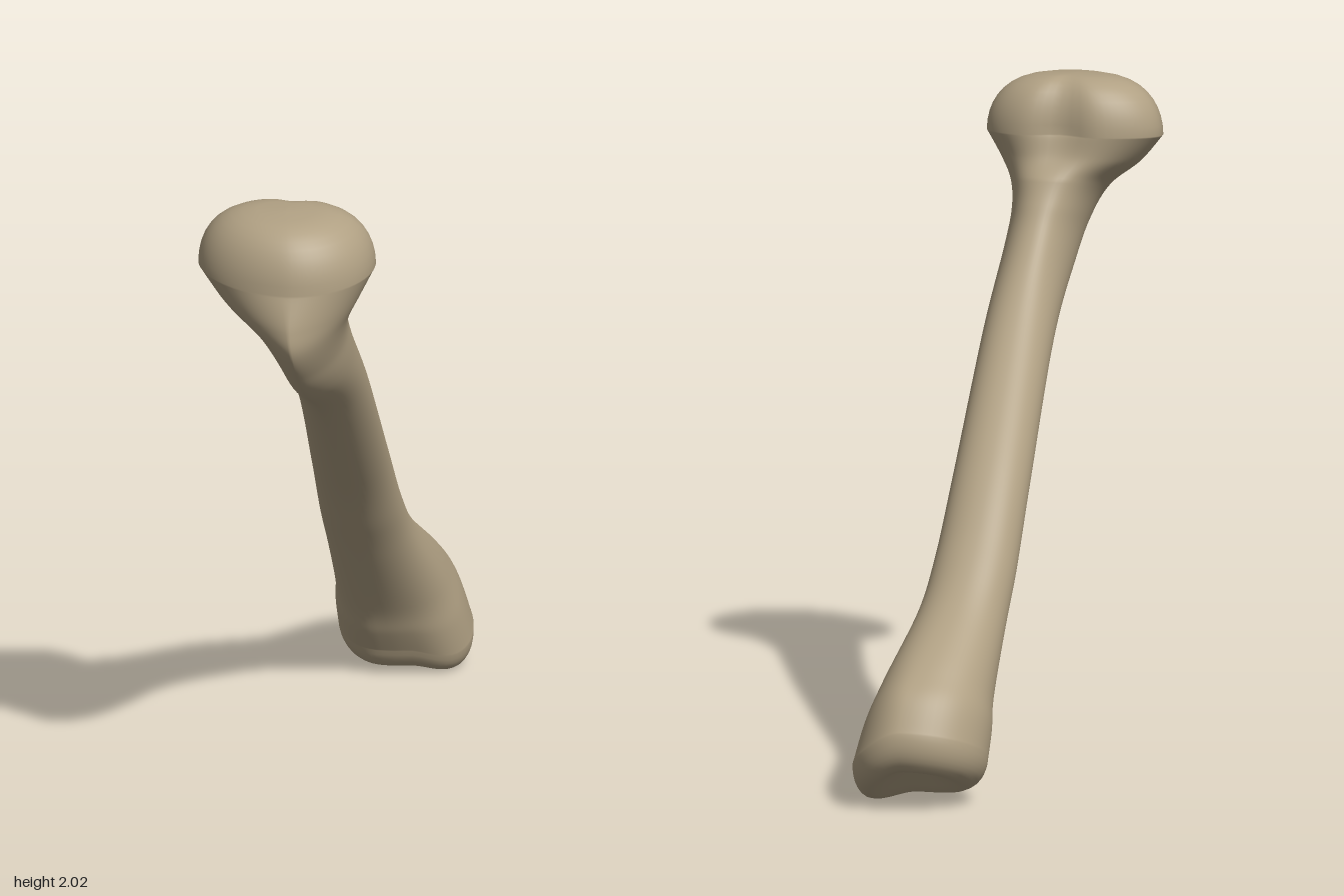
import * as THREE from 'three';

const { lerp, clamp, smoothstep } = THREE.MathUtils;

// Cross-sections from knee to ankle:
// back z, back y, front z, front y, left x, right x, x of the back ridge, pinch of the front crest
const sections = [
  [0.51, 1.83, 0.925, 1.79, -0.335, 0.215, -0.04, 1.1],
  [0.5, 1.76, 0.958, 1.68, -0.26, 0.17, -0.03, 1.5],
  [0.47, 1.7, 0.95, 1.595, -0.165, 0.135, -0.01, 1.5],
  [0.43, 1.63, 0.87, 1.5, -0.115, 0.12, 0, 1.4],
  [0.36, 1.53, 0.73, 1.39, -0.09, 0.125, 0.01, 1.35],
  [0.17, 1.32, 0.38, 1.195, -0.08, 0.138, 0.03, 1.2],
  [-0.2, 0.95, -0.045, 0.81, -0.09, 0.15, 0.03, 1.05],
  [-0.4, 0.72, -0.245, 0.58, -0.09, 0.167, 0.04, 1],
  [-0.55, 0.57, -0.365, 0.425, -0.083, 0.195, 0.06, 0.95],
  [-0.78, 0.41, -0.5, 0.235, -0.082, 0.265, 0.11, 0.85],
  [-0.88, 0.335, -0.55, 0.14, -0.09, 0.305, 0.14, 0.85],
  [-0.945, 0.235, -0.59, 0.07, -0.088, 0.33, 0.15, 0.85],
];
const last = sections.length - 1;

// Smoothly blend the sections along the bone
function sectionAt(t) {
  const i = Math.min(Math.floor(t), last - 1), f = t - i;
  const [a, b, c, d] = [i - 1, i, i + 1, i + 2].map((k) => sections[clamp(k, 0, last)]);
  return b.map((v, k) => v + 0.5 * f * (c[k] - a[k]
    + f * (2 * a[k] - 5 * v + 4 * c[k] - d[k] + f * (3 * (v - c[k]) + d[k] - a[k]))));
}

// Rounded caps beyond the first and last section: how far they shrink and shift
function capAt(t) {
  if (t < 0) {
    const angle = -t * Math.PI / 2;
    return { scale: t <= -1 ? 0 : Math.cos(angle) ** 0.6, y: 0.185 * Math.sin(angle), z: 0 };
  }
  if (t <= last) return { scale: 1, y: 0, z: 0 };
  const angle = (t - last) * Math.PI / 2;
  const scale = t >= last + 1 ? 0 : Math.cos(angle) ** 0.4;
  const bulge = 0.105 * Math.sin(angle);
  const socket = 0.07 * smoothstep(1 - scale, 0.25, 1);
  return { scale, y: socket - bulge, z: -0.3 * bulge };
}

// One ring: rounded at the back, more or less pinched at the front crest
function ringPoints(t, sides) {
  const body = clamp(t, 0, last);
  const [bz, by, fz, fy, xMin, xMax, backX, pinch] = sectionAt(body);
  const along = body / last;
  const frontX = lerp(-0.03, 0.07, along), widest = lerp(0.4, 0.57, along);
  const notch = 0.04 * clamp(1 - body / 2, 0, 1);
  const ankle = 0.06 * smoothstep(body, last - 3, last);
  const cap = capAt(t);
  const points = [];
  for (let j = 0; j < sides; j++) {
    const angle = (j / sides) * Math.PI * 2;
    const sin = Math.sin(angle), cos = Math.cos(angle), isBack = cos > 0;
    const ridge = isBack ? backX : frontX;
    const edge = sin >= 0 ? xMax : xMin;
    const sectionX = ridge + (edge - ridge) * Math.abs(sin) ** (isBack ? 0.9 : pinch);
    const depth = widest - (isBack ? widest : 1 - widest) * cos;
    // hollow between the two knee knuckles
    const dent = isBack ? notch * cos * Math.exp(-((sectionX - backX) ** 2) / 0.006) : 0;
    const x = lerp((xMin + xMax) / 2, sectionX, cap.scale);
    const y = lerp((by + fy) / 2, lerp(by, fy, depth), cap.scale) + cap.y;
    const z = lerp((bz + fz) / 2, lerp(bz, fz, depth) + dent, cap.scale) + cap.z;
    // the inner ankle knob hangs lower
    points.push(x, y - ankle * smoothstep(x, 0.14, 0.32), z);
  }
  return points;
}

function boneGeometry(rings = 130, sides = 64) {
  const positions = [], indices = [];
  for (let i = 0; i <= rings; i++) positions.push(...ringPoints(lerp(-1, last + 1, i / rings), sides));
  for (let i = 0; i < rings; i++) {
    for (let j = 0; j < sides; j++) {
      const a = i * sides + j, b = i * sides + (j + 1) % sides;
      const c = a + sides, d = b + sides;
      // the end rings close to a point
      if (i > 0) indices.push(a, b, c);
      if (i < rings - 1) indices.push(b, d, c);
    }
  }
  const geometry = new THREE.BufferGeometry();
  geometry.setAttribute('position', new THREE.Float32BufferAttribute(positions, 3));
  geometry.setIndex(indices);
  geometry.computeVertexNormals();
  return geometry;
}

export function createModel() {
  const group = new THREE.Group();
  group.name = 'shinBone';
  const boneTan = new THREE.MeshStandardMaterial({ color: 0xb0a083 });
  boneTan.name = 'bone tan';
  const bone = new THREE.Mesh(boneGeometry(), boneTan);
  bone.name = 'bone';
  group.add(bone);
  return group;
}
